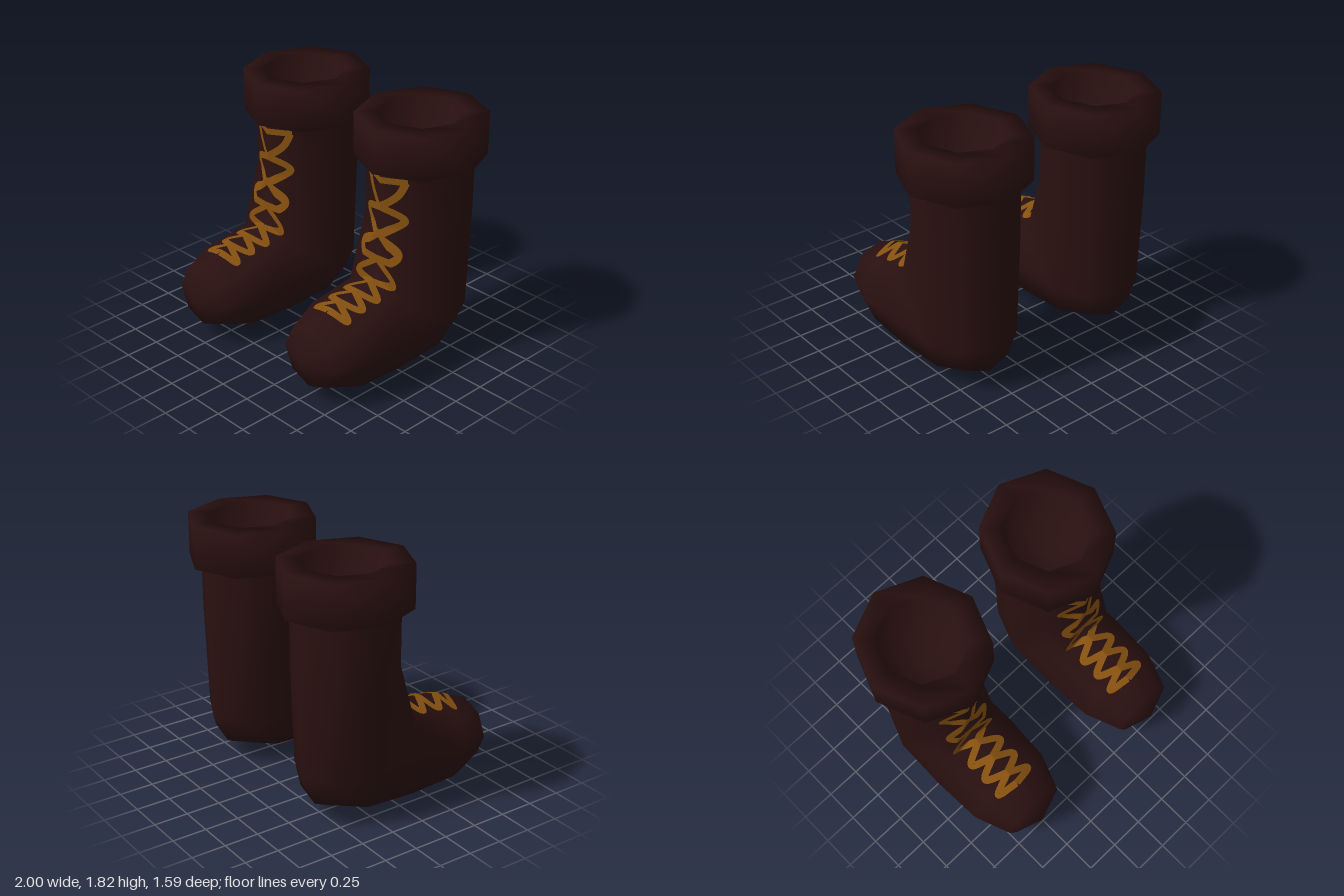
import * as THREE from 'three';
import { mergeVertices } from 'three/addons/utils/BufferGeometryUtils.js';

const boot = new THREE.MeshStandardMaterial({ color: 0x2a1010 });
boot.name = 'dark brown leather';
const lace = new THREE.MeshStandardMaterial({ color: 0x85500f });
lace.name = 'tan lace';

const D = Math.SQRT1_2;
const V = (x, y, z) => new THREE.Vector3(x, y, z);

// Half of a horizontal shaft ring: front, front corner, side, back corner, back
const shaftRing = (y, front) => {
  const rz = 0.38, zc = -0.33;
  return [V(0, y, front), V(0.25, y, zc + rz * D), V(0.355, y, zc), V(0.25, y, zc - rz * D), V(0, y, zc - rz)];
};
// Half of an upright foot ring: top, upper corner, side, lower corner, bottom
const footRing = (z, y, rx, ry) => [
  V(0, y + ry, z), V(rx * D, y + ry * D, z), V(rx, y, z), V(rx * D, y - ry * D, z), V(0, y - ry, z),
];

const heelTip = footRing(-0.695, 0.36, 0, 0);
const heelBack = footRing(-0.58, 0.355, 0.24, 0.235);
const heel = footRing(-0.31, 0.355, 0.345, 0.335);
const instep = footRing(0.08, 0.355, 0.355, 0.355);
const ball = footRing(0.45, 0.34, 0.335, 0.32);
const toe = footRing(0.71, 0.34, 0.235, 0.22);
const toeTip = footRing(0.797, 0.34, 0, 0);
const shaftTop = shaftRing(1.53, 0.05);
const shaftMid = shaftRing(1.1, 0.057);
const ankle = [instep[0], instep[1], heel[2], heelBack[2], heelTip[2]];

// Boot body: one half is gridded, then mirrored
function bodyGeometry() {
  const pos = [];
  const tri = (a, b, c) => {
    pos.push(a.x, a.y, a.z, b.x, b.y, b.z, c.x, c.y, c.z);
    pos.push(-a.x, a.y, a.z, -c.x, c.y, c.z, -b.x, b.y, b.z);
  };
  const grid = (rows) => {
    for (let i = 0; i + 1 < rows.length; i++) {
      for (let j = 0; j + 1 < rows[i].length; j++) {
        const a = rows[i][j], b = rows[i + 1][j], c = rows[i + 1][j + 1], d = rows[i][j + 1];
        if (a.distanceTo(b) > 1e-5 && b.distanceTo(c) > 1e-5) tri(a, b, c);
        if (a.distanceTo(d) > 1e-5 && c.distanceTo(d) > 1e-5) tri(a, c, d);
      }
    }
  };
  grid([shaftTop, shaftMid, ankle]);
  grid([instep, ball, toe, toeTip]);
  grid([heelTip, heelBack, heel, instep].map((r) => r.slice(2)));
  tri(instep[1], instep[2], heel[2]);
  let g = new THREE.BufferGeometry();
  g.setAttribute('position', new THREE.Float32BufferAttribute(pos, 3));
  g = mergeVertices(g, 1e-4);
  g.computeVertexNormals();
  return g;
}

// Point on the front of the boot; s runs down the shaft and out along the foot
const rows = [shaftTop, shaftMid, instep, ball, toe];
const stops = [-0.03, 0.4, 0.79, 1.16, 1.44];
function onFront(x, s) {
  let i = 0;
  while (i < 3 && s > stops[i + 1]) i++;
  const v = (s - stops[i]) / (stops[i + 1] - stops[i]);
  const [a, d] = rows[i], [b, c] = rows[i + 1];
  const u = Math.abs(x) / THREE.MathUtils.lerp(d.x, c.x, v);
  const p = a.clone();
  if (u > v) p.addScaledVector(d, u).addScaledVector(a, -u).addScaledVector(c, v).addScaledVector(d, -v);
  else p.addScaledVector(b, v).addScaledVector(a, -v).addScaledVector(c, u).addScaledVector(b, -u);
  return V(x, p.y + 0.007, p.z + 0.008);
}

// Flat lace ribbon following a path of (x, s) points over the front
function ribbon(path, width, steps) {
  const curve = new THREE.SplineCurve(path.map(([x, s]) => new THREE.Vector2(x, s)));
  const pos = [], index = [], across = 4;
  for (let i = 0; i <= steps; i++) {
    const p = curve.getPoint(i / steps), t = curve.getTangent(i / steps);
    for (let j = 0; j <= across; j++) {
      const o = (j / across - 0.5) * width;
      pos.push(...onFront(p.x - t.y * o, p.y + t.x * o).toArray());
      if (i < steps && j < across) {
        const k = i * (across + 1) + j, n = k + across + 1;
        index.push(k, n, k + 1, k + 1, n, n + 1);
      }
    }
  }
  const g = new THREE.BufferGeometry();
  g.setAttribute('position', new THREE.Float32BufferAttribute(pos, 3));
  g.setIndex(index);
  g.computeVertexNormals();
  // Face the ribbon outward
  const nrm = g.attributes.normal;
  let facing = 0;
  for (let i = 0; i < nrm.count; i++) facing += nrm.getY(i) + nrm.getZ(i);
  if (facing < 0) {
    g.setIndex(index.reverse());
    g.computeVertexNormals();
  }
  return g;
}

// Weaving strand, mirrored to make the criss-cross
const strand = [
  [0.165, 0.06], [0.11, 0.17], [0, 0.26], [-0.165, 0.34], [0, 0.46], [0.165, 0.55], [0, 0.65],
  [-0.165, 0.72], [0, 0.84], [0.14, 0.92], [0, 0.99], [-0.14, 1.06], [0, 1.14], [0.145, 1.2], [0, 1.24],
];
const mirrored = strand.map(([x, s]) => [-x, s]);
const topBar = [[-0.175, 0.06], [0, 0.07], [0.175, 0.06]];

// Cuff with a hollow opening
const cuffProfile = [
  [0.33, 1.505], [0.44, 1.505], [0.44, 1.815], [0.29, 1.815], [0.27, 1.45], [0, 1.45],
].map(([x, y]) => new THREE.Vector2(x, y));

function makeBoot(name) {
  const g = new THREE.Group();
  g.name = name;
  const add = (part, geometry, material) => {
    const m = new THREE.Mesh(geometry, material);
    m.name = part;
    g.add(m);
    return m;
  };
  add('bootBody', bodyGeometry(), boot);
  const cuff = add('cuff', new THREE.LatheGeometry(cuffProfile, 8), boot);
  cuff.scale.z = 1.057;
  cuff.position.z = -0.328;
  add('laceStrandA', ribbon(strand, 0.05, 220), lace);
  add('laceStrandB', ribbon(mirrored, 0.05, 220), lace);
  add('laceTopBar', ribbon(topBar, 0.045, 24), lace);
  return g;
}

export function createModel() {
  const model = new THREE.Group();
  model.name = 'pairOfBoots';
  for (const [name, x] of [['leftBoot', 0.56], ['rightBoot', -0.56]]) {
    const b = makeBoot(name);
    b.position.x = x;
    model.add(b);
  }
  return model;
}
